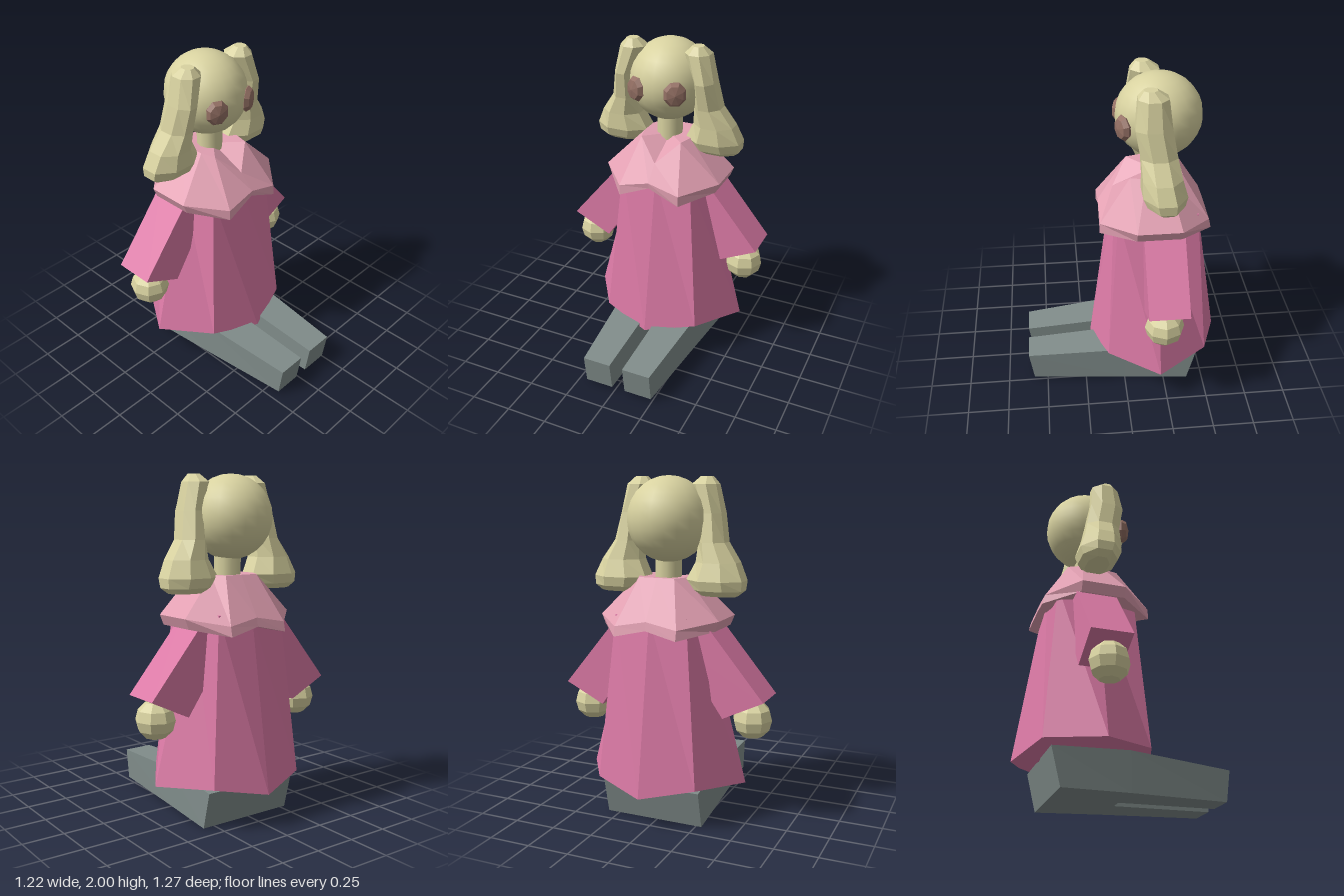
import * as THREE from 'three';

const mat = (name, color, flatShading = true) => {
  const m = new THREE.MeshStandardMaterial({ color, flatShading });
  m.name = name;
  return m;
};

// Joins rings of points, ordered top to bottom, and caps both ends
function loft(rings) {
  const pos = [];
  const tri = (...pts) => pts.forEach((p) => pos.push(...p));
  const middle = (ring) => [0, 1, 2].map((k) => ring.reduce((s, p) => s + p[k], 0) / ring.length);
  const n = rings[0].length;
  const first = rings[0], last = rings[rings.length - 1];
  for (let i = 0; i < n; i++) {
    const j = (i + 1) % n;
    for (let r = 0; r < rings.length - 1; r++) {
      const a = rings[r], b = rings[r + 1];
      tri(a[i], a[j], b[i]);
      tri(a[j], b[j], b[i]);
    }
    tri(middle(first), first[j], first[i]);
    tri(middle(last), last[i], last[j]);
  }
  const g = new THREE.BufferGeometry();
  g.setAttribute('position', new THREE.Float32BufferAttribute(pos, 3));
  g.computeVertexNormals();
  return g;
}

// Completes a front-to-back half ring by mirroring it across the middle plane
const MID = -0.02;
const mirrored = (half) => [
  ...half.map(([x, y, z]) => [x, y, MID + z]),
  ...half.slice(1, -1).reverse().map(([x, y, z]) => [x, y, MID - z]),
];

const ellipse = (xc, y, zc, rx, rz, n = 8) => Array.from({ length: n }, (_, i) => {
  const a = ((i + 0.5) / n) * Math.PI * 2;
  return [xc + rx * Math.cos(a), y, zc + rz * Math.sin(a)];
});

export function createModel() {
  const model = new THREE.Group();
  model.name = 'seatedDoll';
  const skin = mat('cream', 0xd8d2a0);
  const smoothSkin = skin.clone();
  smoothSkin.flatShading = false;
  smoothSkin.name = 'creamSmooth';
  const pink = mat('pink', 0xdc7aa6);
  const palePink = mat('palePink', 0xe2a0b2);
  const grey = mat('grey', 0x808c8a);
  const brown = mat('brown', 0x947064);

  const add = (name, geometry, material, x = 0, y = 0, z = 0) => {
    const m = new THREE.Mesh(geometry, material);
    m.name = name;
    m.position.set(x, y, z);
    model.add(m);
    return m;
  };

  // Head and neck
  add('head', new THREE.SphereGeometry(1, 20, 14), smoothSkin, -0.215, 1.755, 0).scale.set(0.25, 0.245, 0.24);
  add('neck', new THREE.CylinderGeometry(0.078, 0.078, 0.3, 10), smoothSkin, -0.2, 1.43, -0.01);

  // Dress
  add('dress', loft([
    mirrored([[0.04, 1.22, 0], [0.035, 1.22, 0.22], [-0.2, 1.22, 0.24], [-0.43, 1.22, 0.22], [-0.445, 1.22, 0]]),
    mirrored([[0.205, 0.2, 0], [0.105, 0.257, 0.305], [-0.2, 0.233, 0.5], [-0.505, 0.257, 0.305], [-0.612, 0.2, 0]]),
  ]), pink);

  // Collar with a V neck and a turned-down rim
  add('collar', loft([
    mirrored([[0.05, 1.31, 0], [-0.04, 1.43, 0.127], [-0.13, 1.43, 0.15], [-0.26, 1.43, 0.15], [-0.345, 1.43, 0.11], [-0.345, 1.43, 0]]),
    mirrored([[0.14, 1.22, 0], [0.14, 1.17, 0.19], [-0.06, 1.2, 0.37], [-0.32, 1.2, 0.37], [-0.5, 1.165, 0.19], [-0.49, 1.2, 0]]),
    mirrored([[0.135, 1.185, 0], [0.142, 1.107, 0.19], [-0.06, 1.14, 0.345], [-0.32, 1.14, 0.345], [-0.513, 1.107, 0.19], [-0.5, 1.15, 0]]),
  ]), palePink);

  // Pigtail sections: x, y, z, half width, half depth
  const hairSections = [
    [-0.14, 1.995, 0.205, 0.04, 0.035], [-0.155, 1.95, 0.203, 0.09, 0.08],
    [-0.155, 1.79, 0.25, 0.11, 0.068], [-0.185, 1.63, 0.265, 0.11, 0.085],
    [-0.2, 1.52, 0.298, 0.12, 0.13], [-0.215, 1.42, 0.295, 0.135, 0.18],
    [-0.22, 1.365, 0.305, 0.115, 0.165], [-0.225, 1.333, 0.31, 0.07, 0.12],
  ];
  // Eye: a shallow dome turned around its own axis
  const dome = [[0.001, -0.035], [0.8, -0.025], [1, 0], [0.75, 0.025], [0.001, 0.037]]
    .map(([r, h]) => new THREE.Vector2(r * 0.075, h));

  // Four-cornered ring sloping from an inner to an outer edge
  const cuff = (s, inner, outer) => {
    const [lo, hi] = s > 0 ? [inner, outer] : [outer, inner];
    return [[-0.105, lo], [-0.105, hi], [-0.345, hi], [-0.345, lo]].map(([x, [z, y]]) => [x, y, z * s]);
  };

  for (const s of [1, -1]) {
    const side = s > 0 ? 'left' : 'right';

    add(side + 'Pigtail', loft(hairSections.map(([x, y, z, rx, rz]) => ellipse(x, y, z * s, rx, rz))), skin);

    const eye = add(side + 'Eye', new THREE.LatheGeometry(dome, 8, Math.PI / 8), brown, -0.002, 1.737, 0.122 * s);
    eye.rotation.set(0, -0.45 * s, -Math.PI / 2);
    eye.rotation.order = 'YXZ';
    eye.scale.set(1.03, 1, 0.92);

    add(side + 'Sleeve', loft([
      cuff(s, [0.1, 1.06], [0.27, 1.195]),
      cuff(s, [0.385, 0.65], [0.625, 0.767]),
    ]), pink);

    add(side + 'Hand', new THREE.SphereGeometry(0.117, 8, 6), skin, -0.21, 0.63, 0.52 * s);
    add(side + 'Wrist', new THREE.CylinderGeometry(0.055, 0.055, 0.16, 8), skin, -0.21, 0.71, 0.495 * s)
      .rotation.x = -0.5 * s;

    // Leg, tapering to the foot end
    const [a, b] = s > 0 ? [0.042, 1] : [1, 0.042];
    const foot = s > 0 ? [0.04, 0.215] : [-0.222, -0.045];
    const hip = s > 0 ? [a, 0.27 * b] : [-0.27 * a, -b];
    const legRing = (x, yFoot, yHip) => [
      [x, yFoot, foot[0] + MID], [x, yFoot, foot[1] + MID], [0, yHip, hip[1] + MID], [0, yHip, hip[0] + MID],
    ];
    add(side + 'Leg', loft([legRing(0.612, 0.2, 0.245), legRing(0.585, 0.015, 0.008)]), grey);
  }

  // Seat block joining both legs
  const seatRing = (xBack, yBack, yFront) => [
    [0, yFront, MID - 0.27], [0, yFront, MID + 0.27], [xBack, yBack, MID + 0.303], [xBack, yBack, MID - 0.303],
  ];
  add('seatBlock', loft([seatRing(-0.455, 0.222, 0.245), seatRing(-0.4, 0, 0.008)]), grey);

  return model;
}
